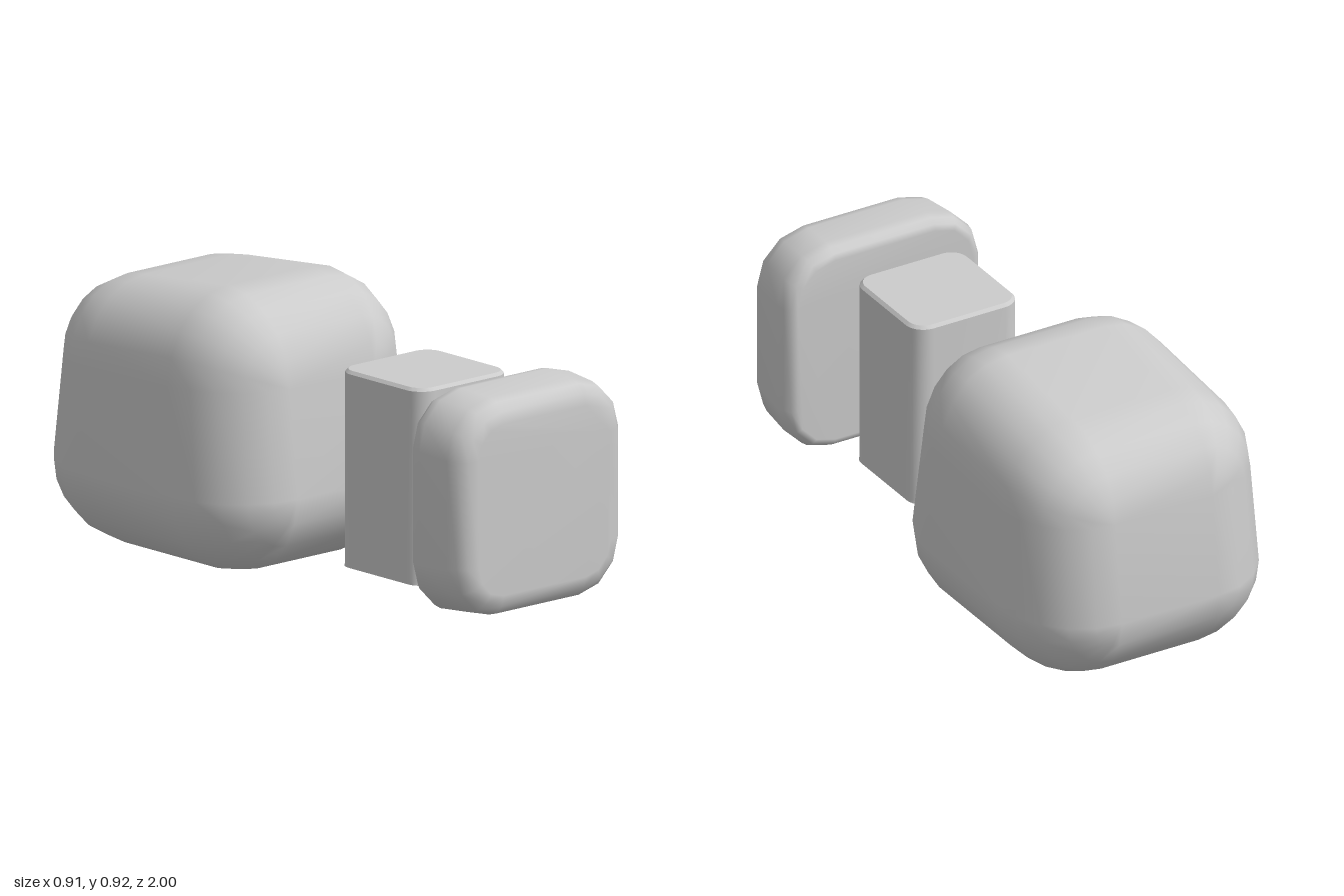
import * as THREE from 'three';
import { mergeVertices, toCreasedNormals } from 'three/addons/utils/BufferGeometryUtils.js';

const material = new THREE.MeshStandardMaterial({ color: 0xcccccc });

// Smooth rounded block made of rounded-rectangle rings running from +z to -z.
// place(sx, sy, sz, c, s, e, f): corner signs, corner arc direction (c, s),
// rim direction outwards (e) and along z (f); returns the point.
function roundedBlock(cornerSteps, rimSteps, place) {
  const positions = [], index = [];
  const count = 4 * (cornerSteps + 1), rings = 2 * (rimSteps + 1);
  for (let j = 0; j < rings; j++) {
    const sz = j <= rimSteps ? 1 : -1;
    const phi = ((sz > 0 ? j : j - 1) / rimSteps) * Math.PI / 2;
    for (let q = 0; q < 4; q++) {
      const sx = q === 0 || q === 3 ? 1 : -1, sy = q < 2 ? 1 : -1;
      for (let k = 0; k <= cornerSteps; k++) {
        const t = (q + k / cornerSteps) * Math.PI / 2;
        positions.push(...place(sx, sy, sz, Math.cos(t), Math.sin(t), Math.sin(phi), Math.cos(phi)));
      }
    }
  }
  for (let j = 0; j < rings - 1; j++) {
    for (let i = 0; i < count; i++) {
      const n = (i + 1) % count;
      const a = j * count + i, b = j * count + n, c = a + count, d = b + count;
      index.push(a, c, b, b, c, d);
    }
  }
  // Flat end caps
  const last = (rings - 1) * count;
  for (let i = 1; i < count - 1; i++) {
    index.push(0, i, i + 1, last, last + i + 1, last + i);
  }
  const geometry = new THREE.BufferGeometry();
  geometry.setAttribute('position', new THREE.Float32BufferAttribute(positions, 3));
  geometry.setIndex(index);
  const merged = mergeVertices(geometry);
  merged.computeVertexNormals();
  return merged;
}

// Large block: narrower towards the top, top face sloping down to the back
function blockGeometry() {
  return roundedBlock(5, 5, (sx, sy, sz, c, s, e, f) => {
    const top = sy > 0, front = sz > 0;
    const rx = top ? 0.255 : 0.277;
    const ry = top ? (front ? 0.285 : 0.26) : 0.277;
    const rz = front ? (top ? 0.295 : 0.28) : (top ? 0.27 : 0.31);
    const coreY = top ? (front ? 0.635 : 0.62) : 0.28;
    const coreZ = front ? (top ? -0.30 : -0.25) : -0.69;
    return [sx * 0.18 + rx * c * e, coreY + ry * s * e, coreZ + rz * f];
  });
}

// Plate: rounded square with a wide front rim and a small back rim
function plateGeometry() {
  return roundedBlock(3, 3, (sx, sy, sz, c, s, e, f) => {
    const front = sz > 0;
    const half = front ? 0.356 : 0.365;
    const rim = front ? 0.075 : 0.04;
    const corner = 0.18 - rim * (1 - e);
    return [
      sx * (half - 0.18) + corner * c,
      0.433 + sy * (half - 0.18) + corner * s,
      (front ? 0.93 : 0.81) + (front ? 0.07 : 0.06) * f,
    ];
  });
}

// Post: rounded square column with a fine chamfer on the top edge only
function postGeometry() {
  const half = 0.187, r = 0.055, bevel = 0.01, height = 0.645;
  const shape = new THREE.Shape();
  for (let q = 0; q < 4; q++) {
    const cx = (q === 0 || q === 3 ? 1 : -1) * (half - r);
    const cy = (q < 2 ? 1 : -1) * (half - r);
    shape.absarc(cx, cy, r, q * Math.PI / 2, (q + 1) * Math.PI / 2, false);
  }
  const geometry = new THREE.ExtrudeGeometry(shape, {
    depth: height - 2 * bevel, bevelThickness: bevel, bevelSize: bevel,
    bevelSegments: 1, curveSegments: 5,
  });
  // Widen the lowest layer so the bottom edge is square
  const p = geometry.attributes.position;
  const widen = (half + bevel) / half;
  for (let i = 0; i < p.count; i++) {
    if (p.getZ(i) < -bevel / 2) p.setXY(i, p.getX(i) * widen, p.getY(i) * widen);
  }
  geometry.rotateX(-Math.PI / 2);
  geometry.translate(0, 0.11 + bevel, 0.432);
  return toCreasedNormals(geometry, 0.6);
}

export function createModel() {
  const group = new THREE.Group();
  const parts = { largeBlock: blockGeometry(), post: postGeometry(), frontPlate: plateGeometry() };
  for (const [name, geometry] of Object.entries(parts)) {
    const mesh = new THREE.Mesh(geometry, material);
    mesh.name = name;
    group.add(mesh);
  }
  return group;
}
